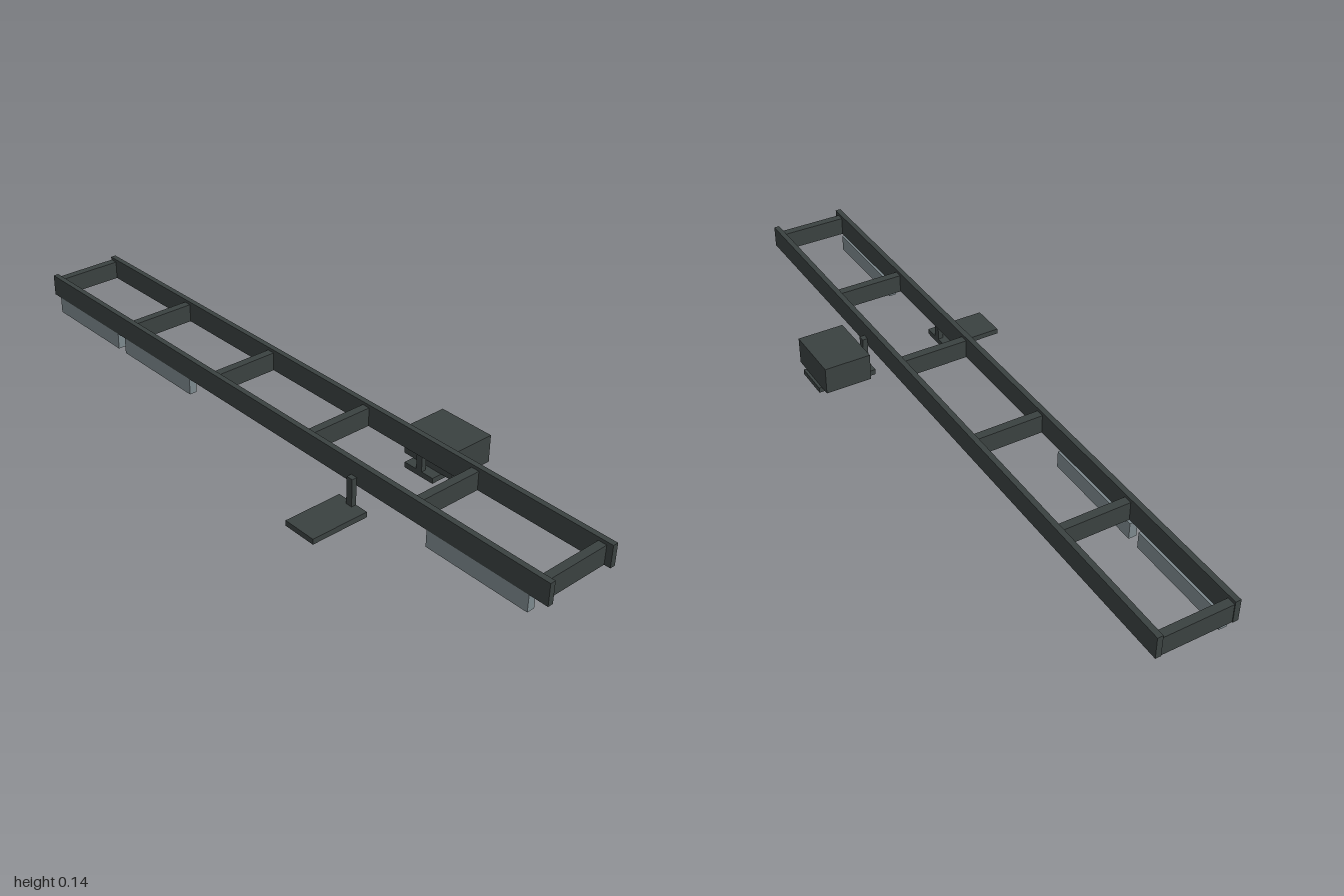
import * as THREE from 'three';

export function createModel() {
  const model = new THREE.Group();
  model.name = 'ladderFrame';
  const steel = new THREE.MeshStandardMaterial({ color: 0x3a4140 });
  steel.name = 'dark steel';
  const grey = new THREE.MeshStandardMaterial({ color: 0x7c888d });
  grey.name = 'grey panel';

  // Box given by its extents along each axis
  function box(name, [x0, x1], [y0, y1], [z0, z1], material = steel) {
    const mesh = new THREE.Mesh(new THREE.BoxGeometry(x1 - x0, y1 - y0, z1 - z0), material);
    mesh.position.set((x0 + x1) / 2, (y0 + y1) / 2, (z0 + z1) / 2);
    mesh.name = name;
    model.add(mesh);
  }

  // Long side rails, posts and foot plates, mirrored front to back
  for (const [side, s] of [['front', 1], ['back', -1]]) {
    const span = (a, b) => (s > 0 ? [a, b] : [-b, -a]);
    box(side + 'Rail', [-1, 1], [0.074, 0.138], span(0.098, 0.114));
    box(side + 'Post', [0.365, 0.385], [0.016, 0.097], span(0.114, 0.129));
    box(side + 'FootPlate', [0.323, 0.425], [0, 0.016], span(0.114, 0.29));
  }

  // Evenly spaced cross members
  for (let i = 0; i < 6; i++) {
    const x = -0.986 + i * 0.3912;
    box('crossMember' + (i + 1), [x - 0.012, x + 0.012], [0.074, 0.129], [-0.098, 0.098]);
  }

  // Equipment box resting on the back plate
  box('equipmentBox', [0.29, 0.463], [0.016, 0.097], [-0.282, -0.145]);

  // Skirt panels hung under the front rail
  [[-0.968, -0.655], [-0.62, -0.303], [0.628, 0.946]].forEach((x, i) =>
    box('skirtPanel' + (i + 1), x, [0.025, 0.074], [0.091, 0.114], grey));

  return model;
}
